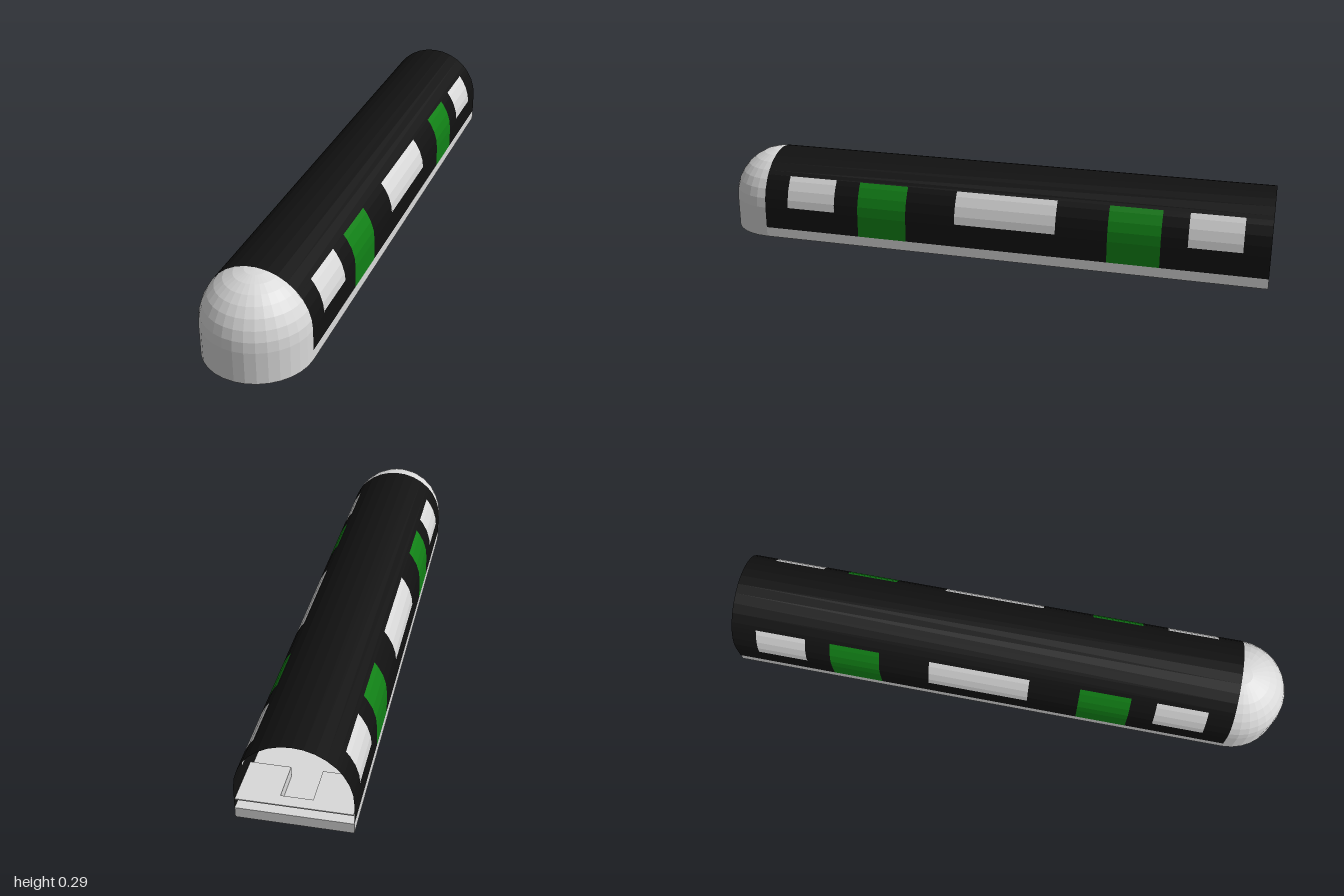
import * as THREE from 'three';

const R = 0.182, CY = 0.113, SILL = 0.036, HEAD = 0.23, PANE = 0.12;
const BACK = -1, FRONT = 0.818;

export function createModel() {
  const group = new THREE.Group();
  const material = (name, color, extra) => {
    const m = new THREE.MeshStandardMaterial({ color, flatShading: true, side: THREE.DoubleSide });
    m.name = name;
    return m;
  };
  const white = material('light grey', 0xd9d9d9);
  const black = material('black', 0x111111);
  const green = material('green', 0x118016);

  const add = (name, geometry, mat, x = 0, y = 0, z = 0) => {
    const mesh = new THREE.Mesh(geometry, mat);
    mesh.name = name;
    mesh.position.set(x, y, z);
    group.add(mesh);
    return mesh;
  };

  // Half-arch outline between two heights: straight wall, then arc in regular facets
  const step = Math.PI / 16;
  const outline = (y0, y1) => {
    const point = (y) => [y <= CY ? R : Math.sqrt(Math.max(0, R * R - (y - CY) ** 2)), y];
    const pts = [point(y0)];
    for (let i = 0; i < 8; i++) {
      const y = CY + R * Math.sin(i * step);
      if (y > y0 + 1e-4 && y < y1 - 1e-4) pts.push(point(y));
    }
    pts.push(point(y1));
    return pts;
  };

  // Curved wall sheet following the outline from z0 to z1
  const sheet = (name, mat, side, y0, y1, z0, z1) => {
    const pts = outline(y0, y1), pos = [], idx = [];
    pts.forEach(([x, y]) => pos.push(side * x, y, z0, side * x, y, z1));
    for (let i = 0; i < pts.length - 1; i++) {
      const a = 2 * i, b = a + 1, c = a + 2, d = a + 3;
      if (side > 0) idx.push(a, c, b, b, c, d);
      else idx.push(a, b, c, b, d, c);
    }
    const g = new THREE.BufferGeometry();
    g.setAttribute('position', new THREE.Float32BufferAttribute(pos, 3));
    g.setIndex(idx);
    g.computeVertexNormals();
    add(name, g, mat);
  };

  // Side walls split into windows, doors and the dark shell around them
  const openings = [
    ['window', -0.91, -0.728], ['door', -0.637, -0.455], ['window', -0.273, 0.09],
    ['door', 0.272, 0.455], ['window', 0.546, 0.728],
  ];
  for (const side of [1, -1]) {
    sheet('roof', black, side, HEAD, CY + R, BACK, FRONT);
    let z = BACK;
    for (const [kind, z0, z1] of openings) {
      sheet('wallPanel', black, side, SILL, HEAD, z, z0);
      if (kind === 'door') sheet('door', green, side, SILL, HEAD, z0, z1);
      else {
        sheet('wallBelowWindow', black, side, SILL, PANE, z0, z1);
        sheet('window', white, side, PANE, HEAD, z0, z1);
      }
      z = z1;
    }
    sheet('wallPanel', black, side, SILL, HEAD, z, FRONT);
  }

  // Floor slab, whose edge forms the pale sill
  add('floor', new THREE.BoxGeometry(2 * R, SILL, FRONT - BACK), white, 0, SILL / 2, (FRONT + BACK) / 2);

  // Rounded nose: half cylinder below a quarter sphere
  add('noseBase', new THREE.CylinderGeometry(R, R, CY, 16, 1, false, -Math.PI / 2, Math.PI), white, 0, CY / 2, FRONT);
  add('noseDome', new THREE.SphereGeometry(R, 16, 8, 0, Math.PI, 0, Math.PI / 2), white, 0, CY, FRONT);

  // Thin U-shaped bench inside the open rear end
  const benchY = 0.07, benchT = 0.004;
  add('benchBack', new THREE.BoxGeometry(2 * R - 0.004, benchT, 0.04), white, 0, benchY, BACK + 0.02);
  for (const side of [1, -1]) {
    add('benchSeat', new THREE.BoxGeometry(0.13, benchT, 0.13), white, side * 0.115, benchY, BACK + 0.105);
    add('benchRiser', new THREE.BoxGeometry(0.004, benchY - SILL, 0.13), white, side * 0.052, (benchY + SILL) / 2, BACK + 0.105);
  }
  return group;
}
